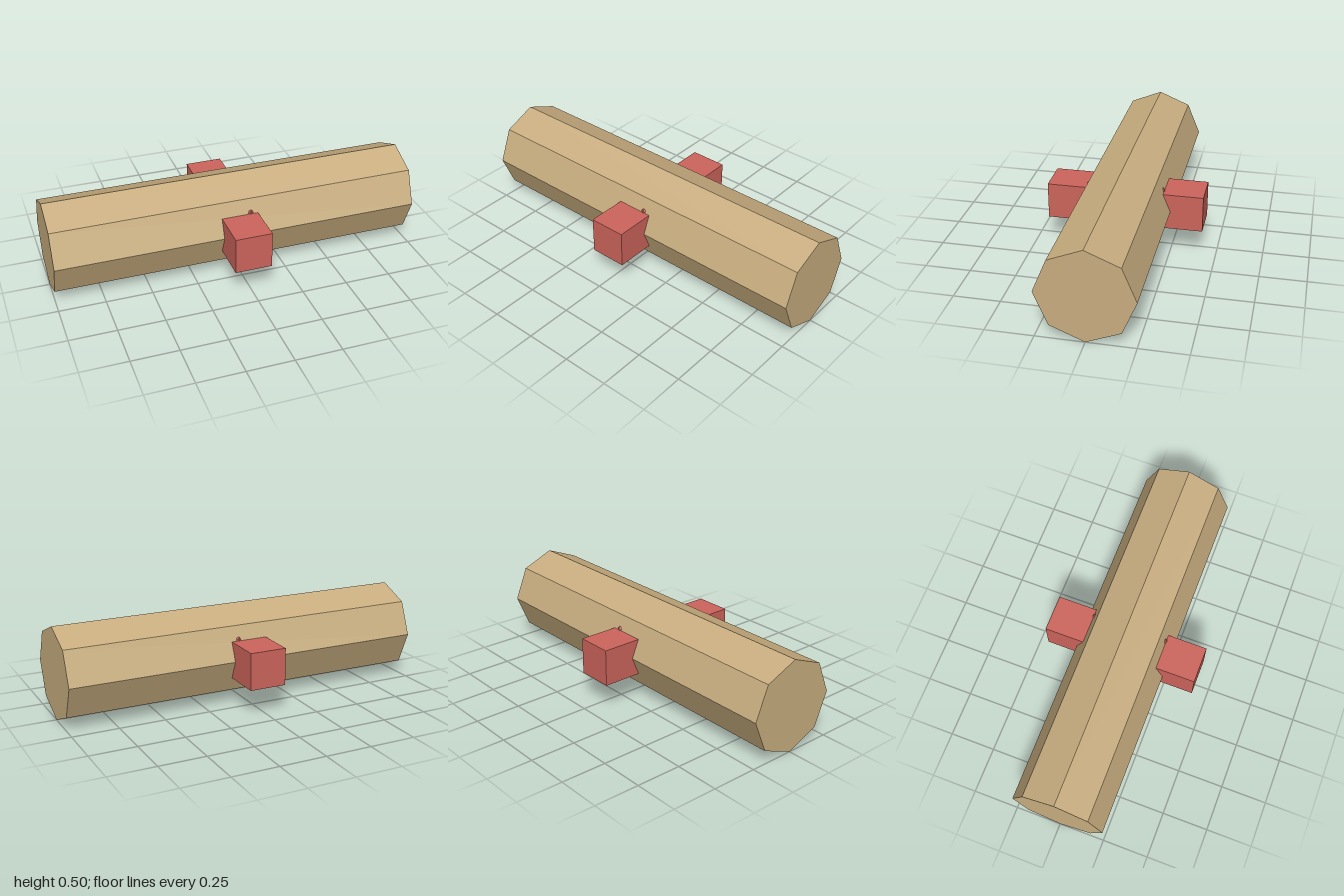
import * as THREE from 'three';

export function createModel() {
  const model = new THREE.Group();
  const wood = new THREE.MeshStandardMaterial({ color: 0xc8ad7f, flatShading: true });
  const red = new THREE.MeshStandardMaterial({ color: 0xcc645b, flatShading: true });

  const add = (name, geometry, material, x, y, z) => {
    const mesh = new THREE.Mesh(geometry, material);
    mesh.name = name;
    mesh.position.set(x, y, z);
    model.add(mesh);
    return mesh;
  };

  // Eight-sided beam lying along x, with an edge at the top
  const beam = new THREE.CylinderGeometry(0.25, 0.25, 2, 8).rotateZ(Math.PI / 2);
  add('beam', beam, wood, 0, 0.25, 0);

  // Square peg passing through the middle of the beam
  add('crossPeg', new THREE.BoxGeometry(0.2, 0.2, 0.85), red, 0, 0.25, 0);

  // Small studs peeking out above and below the peg, front and back
  const stud = new THREE.IcosahedronGeometry(0.017, 0);
  for (const end of [1, -1]) {
    for (const side of [1, -1]) {
      add('stud', stud, red, side * 0.06, 0.25 + side * 0.105, end * 0.198);
    }
  }

  return model;
}
